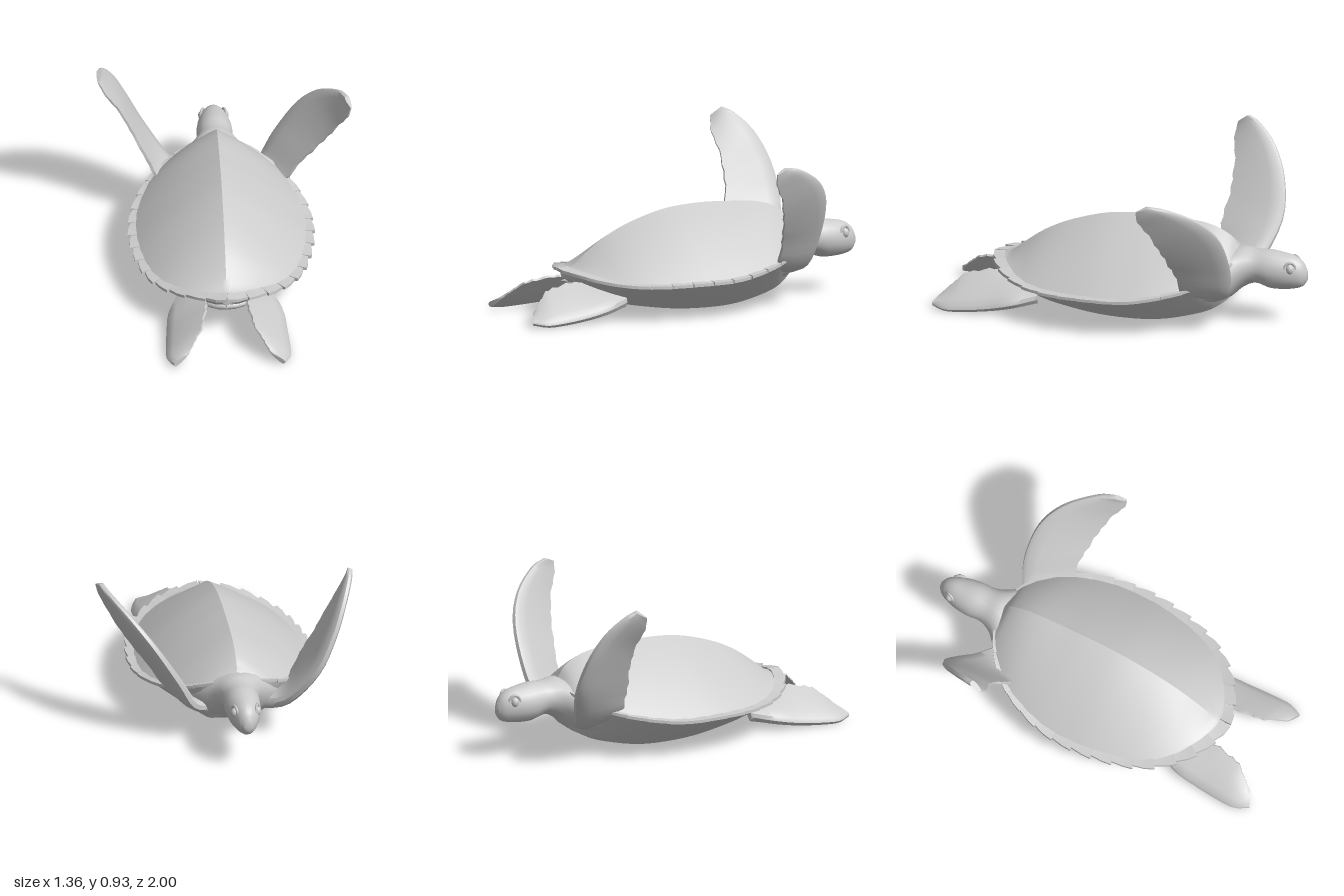
import * as THREE from 'three';
import { mergeGeometries, toCreasedNormals } from 'three/addons/utils/BufferGeometryUtils.js';

const CX = -0.035; // the body's symmetry plane
const material = new THREE.MeshStandardMaterial({ color: 0xcccccc, side: THREE.DoubleSide });
const V = (x, y, z) => new THREE.Vector3(x, y, z);

// Smoothly resample rows of numbers, column by column
function resample(rows, n) {
  const curves = rows[0].map((_, c) =>
    new THREE.CatmullRomCurve3(rows.map((r) => V(r[c], 0, 0)), false, 'catmullrom'));
  return Array.from({ length: n + 1 }, (_, i) => curves.map((c) => c.getPoint(i / n).x));
}

// Closed skin through rings of points, with end caps, always facing outward
function loft(rings, crease = 0.7) {
  const m = rings[0].length, pts = rings.flat(), idx = [];
  for (let i = 0; i < rings.length - 1; i++) {
    for (let j = 0; j < m; j++) {
      const a = i * m + j, b = i * m + (j + 1) % m;
      idx.push(a, b, a + m, b, b + m, a + m);
    }
  }
  const last = (rings.length - 1) * m;
  for (let j = 1; j < m - 1; j++) idx.push(0, j + 1, j, last, last + j, last + j + 1);
  let volume = 0;
  for (let i = 0; i < idx.length; i += 3) {
    const [a, b, c] = [0, 1, 2].map((k) => pts[idx[i + k]].clone().sub(pts[0]));
    volume += a.dot(b.cross(c));
  }
  if (volume < 0) idx.reverse();
  const g = new THREE.BufferGeometry().setFromPoints(pts);
  g.setIndex(idx);
  return toCreasedNormals(g, crease);
}

// Blade between a leading and a trailing edge, thicker at the leading side
function flipper(lead, trail, half, ragged) {
  const n = 24, L = resample(lead, n), T = resample(trail, n);
  const profile = [[0, 0.4], [0.07, 0.9], [0.25, 1], [0.5, 0.85], [0.75, 0.6], [1, 0.25]];
  const section = [...profile, ...profile.map(([s, h]) => [s, -h]).reverse()];
  const mid = (i) => V(...L[i]).add(V(...T[i])).multiplyScalar(0.5);
  const rings = L.map((p, i) => {
    const a = V(...p), chord = V(...T[i]).sub(a);
    const span = mid(Math.min(i + 1, n)).sub(mid(Math.max(i - 1, 0)));
    const normal = chord.clone().cross(span).normalize();
    const thick = half * (1 - 0.6 * i / n);
    const notch = 1 - ragged * ((i * 2) % 5) / 4;
    return section.map(([s, h]) => a.clone().addScaledVector(chord, s > 0.9 ? s * notch : s)
      .addScaledVector(normal, h * thick));
  });
  return loft(rings);
}

// Shell stations: z, half width, ridge height, rim height, belly height
const stations = resample([
  [-0.62, 0.13, 0.42, 0.36, 0.2],
  [-0.58, 0.21, 0.475, 0.33, 0.15],
  [-0.5, 0.305, 0.52, 0.29, 0.1],
  [-0.4, 0.378, 0.543, 0.26, 0.07],
  [-0.25, 0.438, 0.553, 0.23, 0.04],
  [-0.1, 0.466, 0.558, 0.21, 0.03],
  [0.1, 0.462, 0.542, 0.205, 0.035],
  [0.3, 0.425, 0.485, 0.2, 0.06],
  [0.45, 0.365, 0.415, 0.205, 0.09],
  [0.57, 0.27, 0.33, 0.22, 0.145],
  [0.65, 0.165, 0.268, 0.24, 0.19],
  [0.7, 0.04, 0.258, 0.25, 0.22],
], 44);

export function createModel() {
  const model = new THREE.Group();
  const add = (name, geometry) => {
    const mesh = new THREE.Mesh(geometry, material);
    mesh.name = name;
    model.add(mesh);
    return mesh;
  };

  // Domed carapace with a central ridge, and the flat-bottomed plastron
  const across = Array.from({ length: 21 }, (_, i) => i / 10 - 1);
  const half = (height) => stations.map((st) =>
    across.map((u) => V(CX + u * st[1], height(Math.abs(u), st), st[0])));
  add('carapace', loft(half((s, [, , top, rim]) => rim + (top - rim) * (1 - 0.72 * s - 0.28 * s * s)), 0.4));
  add('plastron', loft(half((s, [, , , rim, low]) =>
    rim - 0.012 * (1 - s) + (low - rim) * (s < 0.4 ? 1 : 1 - Math.pow((s - 0.4) / 0.6, 1.1))), 0.4));

  // Overlapping marginal scutes, jagged towards the tail
  const scutes = [];
  const outline = [...stations.map(([z, w, , y]) => V(w, y, z)), V(0.005, 0.255, 0.7)];
  const edge = new THREE.CatmullRomCurve3(outline);
  const count = 15;
  for (const side of [1, -1]) {
    for (let k = 0; k < count; k++) {
      const grow = Math.min(1, 0.1 + k / 7);
      const rings = [[k, 0.016], [k + 0.6, 0.03], [k + 1.06, 0.036]].map(([i, reach]) => {
        const t = Math.min(i / count, 1), p = edge.getPointAt(t), d = edge.getTangentAt(t);
        const out = V(-d.z, 0, d.x).normalize();
        if (out.x * p.x + out.z * p.z < 0) out.negate();
        const tip = p.clone().addScaledVector(out, reach * grow);
        const inner = p.clone().addScaledVector(out, -0.03);
        const lift = reach * 0.25;
        return [[inner, 0.016], [tip, 0.004 + lift], [tip, lift - 0.012], [inner, -0.016]]
          .map(([q, dy]) => V(CX + side * q.x, q.y + dy, q.z));
      });
      scutes.push(loft(rings, 0.3));
    }
  }
  add('marginalScutes', mergeGeometries(scutes));

  // Shoulders, neck and head: z, half width, centre height, half height
  const headRows = resample([
    [-0.35, 0.27, 0.22, 0.12],
    [-0.5, 0.25, 0.245, 0.135],
    [-0.58, 0.2, 0.272, 0.135],
    [-0.65, 0.13, 0.31, 0.112],
    [-0.72, 0.098, 0.322, 0.092],
    [-0.8, 0.097, 0.312, 0.104],
    [-0.87, 0.088, 0.307, 0.1],
    [-0.93, 0.07, 0.304, 0.09],
    [-0.975, 0.047, 0.297, 0.068],
    [-1, 0.018, 0.29, 0.03],
  ], 36);
  add('headAndNeck', loft(headRows.map(([z, w, y, h]) =>
    Array.from({ length: 20 }, (_, i) => {
      const a = i / 20 * Math.PI * 2;
      return V(CX + w * Math.cos(a), y + h * Math.sin(a), z);
    })), 0.9));

  // Eyes with lids
  for (const [side, label] of [[1, 'left'], [-1, 'right']]) {
    const eye = add(label + 'Eye', new THREE.SphereGeometry(0.022, 14, 10));
    const lid = add(label + 'Eyelid', new THREE.TorusGeometry(0.03, 0.007, 6, 16));
    for (const part of [eye, lid]) {
      part.position.set(CX + side * 0.06, 0.338, -0.92);
      part.rotation.y = side * 1.95;
      part.scale.y = 1.25;
    }
  }

  // Front flippers, each raised in its own stroke
  add('leftFrontFlipper', flipper(
    [[0.08, 0.19, -0.56], [0.19, 0.24, -0.63], [0.28, 0.4, -0.66], [0.405, 0.6, -0.64],
      [0.515, 0.735, -0.555], [0.615, 0.825, -0.41], [0.65, 0.85, -0.31]],
    [[0.14, 0.19, -0.43], [0.31, 0.25, -0.4], [0.42, 0.4, -0.38], [0.505, 0.51, -0.35],
      [0.59, 0.64, -0.31], [0.655, 0.76, -0.25], [0.672, 0.82, -0.245]], 0.034, 0.04));
  add('rightFrontFlipper', flipper(
    [[-0.15, 0.19, -0.56], [-0.29, 0.24, -0.66], [-0.445, 0.44, -0.745], [-0.54, 0.64, -0.73],
      [-0.605, 0.8, -0.66], [-0.65, 0.9, -0.565], [-0.665, 0.935, -0.5]],
    [[-0.22, 0.19, -0.43], [-0.35, 0.28, -0.41], [-0.41, 0.4, -0.41], [-0.48, 0.54, -0.435],
      [-0.55, 0.68, -0.445], [-0.63, 0.81, -0.425], [-0.672, 0.89, -0.435]], 0.038, 0.04));

  // Trailing rear flippers, inner edge high and outer edge low
  for (const [side, label] of [[1, 'left'], [-1, 'right']]) {
    const place = (rows) => rows.map(([x, y, z]) => [CX + side * x, y, z]);
    add(label + 'RearFlipper', flipper(
      place([[0.24, 0.085, 0.43], [0.3, 0.06, 0.56], [0.317, 0.035, 0.7], [0.328, 0.02, 0.85],
        [0.325, 0.018, 0.93], [0.295, 0.03, 1]]),
      place([[0.06, 0.19, 0.47], [0.09, 0.2, 0.59], [0.11, 0.2, 0.72], [0.135, 0.175, 0.85],
        [0.185, 0.12, 0.92], [0.22, 0.075, 0.965]]), 0.035, 0.06));
  }

  // Hips and short tail under the rear of the shell
  const hips = add('hips', new THREE.SphereGeometry(1, 20, 12));
  hips.scale.set(0.17, 0.05, 0.15);
  hips.position.set(CX, 0.17, 0.52);
  const tail = add('tail', new THREE.ConeGeometry(0.045, 0.18, 10));
  tail.position.set(CX, 0.195, 0.62);
  tail.rotation.x = Math.PI / 2;

  return model;
}
